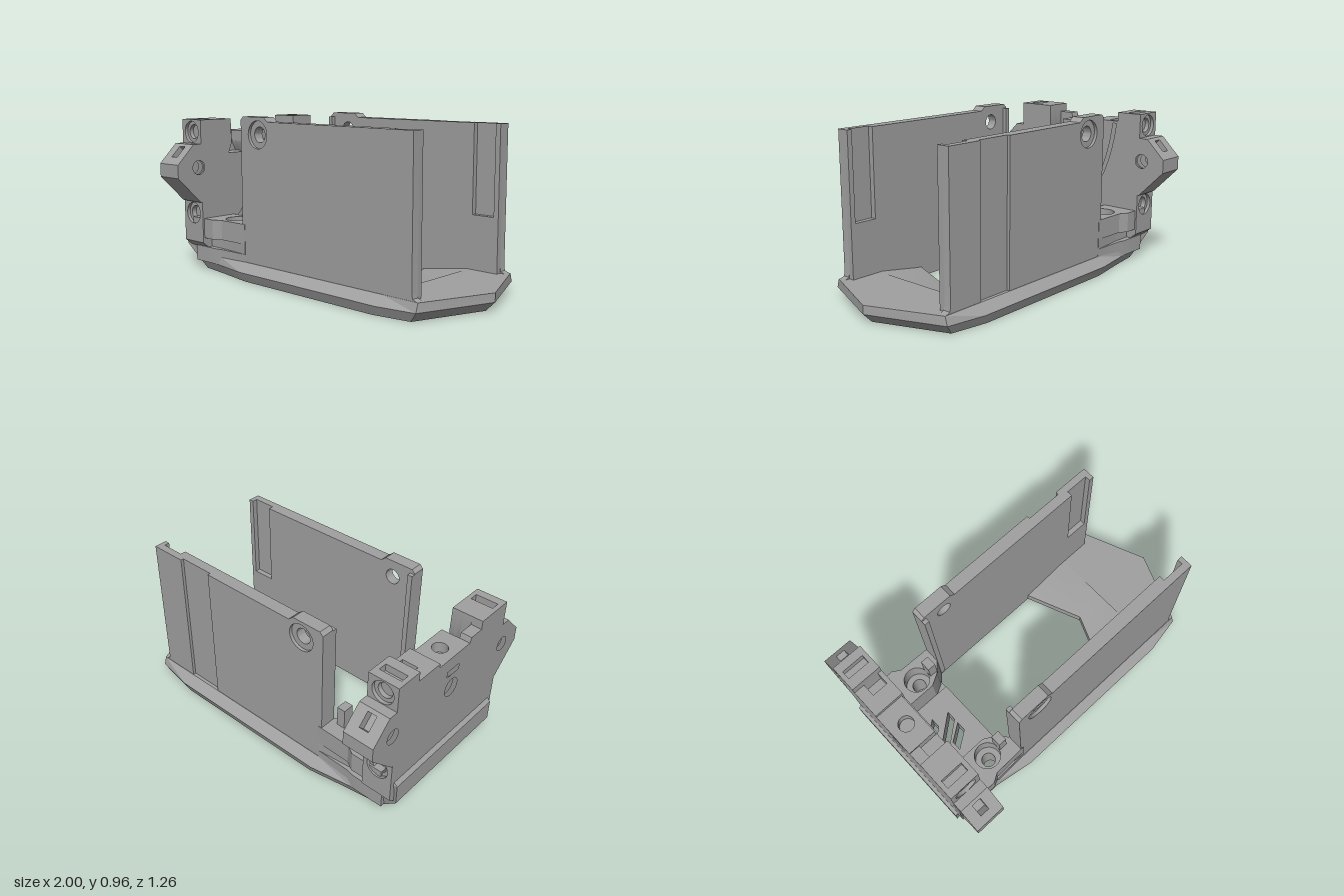
import * as THREE from 'three';
import { toCreasedNormals } from 'three/addons/utils/BufferGeometryUtils.js';

const grey = new THREE.MeshStandardMaterial({ color: 0xa0a0a0 });
grey.name = 'matte grey';

const toShape = (pts, holes = []) => {
  const v = (a) => a.map(([x, y]) => new THREE.Vector2(x, y));
  const s = new THREE.Shape(v(pts));
  holes.forEach((h) => s.holes.push(new THREE.Path(v(h))));
  return s;
};
const circle = (x, y, r, n = 28) => Array.from({ length: n }, (_, i) => {
  const a = (i / n) * Math.PI * 2;
  return [x + r * Math.cos(a), y + r * Math.sin(a)];
});
const rect = (x0, y0, x1, y1) => [[x0, y0], [x1, y0], [x1, y1], [x0, y1]];

// Extrude an outline along an axis between a and b; coordinates are
// (z, y) along x, (x, z) along y and (x, y) along z. move() may edit vertices.
function slab(axis, pts, holes, a, b, move) {
  const flip = (l) => (axis === 'x' ? l.map(([z, y]) => [-z, y]) : l);
  const g = new THREE.ExtrudeGeometry(toShape(flip(pts), holes.map(flip)), { depth: b - a, bevelEnabled: false });
  if (axis === 'x') g.rotateY(Math.PI / 2).translate(a, 0, 0);
  else if (axis === 'y') g.rotateX(Math.PI / 2).translate(0, b, 0);
  else g.translate(0, 0, a);
  if (move) {
    const p = g.attributes.position;
    const v = new THREE.Vector3();
    for (let i = 0; i < p.count; i++) {
      move(v.fromBufferAttribute(p, i));
      p.setXYZ(i, v.x, v.y, v.z);
    }
  }
  return toCreasedNormals(g, 0.5);
}

export function createModel() {
  const model = new THREE.Group();
  model.name = 'cradle';
  const add = (name, geo, parent = model) => {
    const m = new THREE.Mesh(geo, grey);
    m.name = name;
    parent.add(m);
  };
  // z range for a part on the front (s = 1) or the back (s = -1)
  const zr = (s, a, b) => (s > 0 ? [a, b] : [-b, -a]);
  const mz = (s, pts) => pts.map(([x, z]) => [x, s * z]);

  // Boat-shaped base with a large opening, vents and screw holes
  const half = [[0.83, 0.43], [0.6, 0.47], [-0.45, 0.47], [-0.7, 0.43], [-0.918, 0.4]];
  const outline = [[1, 0], ...half, ...mz(-1, half).reverse()];
  const opening = [[-0.52, -0.34], [0.28, -0.34], [0.42, 0], [0.28, 0.34], [-0.52, 0.34]];
  const bar = (x0, z0, x1, z1, w) => [[x0, z0], [x1, z1], [x1, z1 + w], [x0, z0 + w]];
  const vents = [bar(-0.795, -0.06, -0.72, -0.12, 0.06), bar(-0.795, 0.05, -0.62, -0.09, 0.06), bar(-0.72, 0.07, -0.62, 0.0, 0.06)];
  const screws = [1, -1].map((s) => circle(-0.645, s * 0.31, 0.04));
  const onRim = (v) => v.x > 0.78 || v.x < -0.85 || Math.abs(v.z) > 0.38;
  add('baseBottom', slab('y', outline, [opening, ...vents, ...screws], 0, 0.055, (v) => {
    if (v.y < 0.03 && onRim(v)) { v.x *= 0.945; v.z *= 0.955; }
  }));
  add('baseTop', slab('y', outline, [opening, ...vents, ...screws], 0.055, 0.105, (v) => {
    if (v.y < 0.08) return;
    if (onRim(v)) v.z = THREE.MathUtils.clamp(v.z, -0.415, 0.415);
    else if (v.x > 0.2) v.x += 0.3;
  }));
  add('ventFloor', slab('y', rect(-0.9, -0.22, -0.52, 0.22), vents, 0.105, 0.13));

  // Screw blocks with a counterbore and a slit in the outer side
  for (const s of [1, -1]) {
    const plan = (e) => mz(s, [[-0.91, 0.22], [-0.6, 0.22], [-0.53, 0.26], [-0.46, 0.34], [-0.46, 0.415],
      [-0.67, Math.min(e, 0.42)], [-0.72, e], [-0.91, e]]);
    const layers = [[0.055, 0.15, 0.43, 0.04], [0.15, 0.21, 0.395, 0.04], [0.21, 0.33, 0.45, 0.075]];
    const block = new THREE.Group();
    block.name = s > 0 ? 'frontScrewBlock' : 'backScrewBlock';
    model.add(block);
    for (const [y0, y1, e, r] of layers) {
      add('screwBlockLayer', slab('y', plan(e), [circle(-0.645, s * 0.31, r)], y0, y1), block);
    }
    add('peg', slab('z', rect(-0.57, 0.3, -0.52, 0.45), [], ...zr(s, 0.27, 0.335)), block);
  }

  // Side walls: inner layer with an end recess, outer layer with the counterbore
  const left = [[-0.25, 0.935], [-0.28, 0.96], [-0.46, 0.96], [-0.48, 0.94], [-0.48, 0.06]];
  const boltHole = (r) => [circle(-0.335, 0.86, r)];
  for (const s of [1, -1]) {
    const wall = new THREE.Group();
    wall.name = s > 0 ? 'frontWall' : 'backWall';
    model.add(wall);
    const inner = [[0.79, 0.06], [0.79, 0.935], [0.76, 0.935], [0.76, 0.42], [0.62, 0.42], [0.62, 0.935], ...left];
    add('innerWall', slab('z', inner, boltHole(0.045), ...zr(s, 0.338, 0.37)), wall);
    const end = [[0.82, 0.06], [0.82, 0.105], [0.795, 0.115], [0.79, 0.14], [0.79, 0.935]];
    add('middleWall', slab('z', [...end, ...left], boltHole(0.045), ...zr(s, 0.37, 0.395)), wall);
    if (s > 0) add('outerWall', slab('z', [...end, ...left], boltHole(0.08), 0.395, 0.413), wall);
    else {
      add('outerWall', slab('z', [[0.35, 0.06], [0.35, 0.935], ...left], boltHole(0.08), -0.413, -0.395), wall);
      add('outerWallEnd', slab('z', [[0.57, 0.06], ...end, [0.57, 0.935]], [], -0.413, -0.395), wall);
    }
    add('cornerRib', slab('z', rect(-0.48, 0.1, -0.45, 0.935), [], ...zr(s, 0.313, 0.34)), wall);
  }

  // Sloping lower end with clipped corners
  add('lowerEnd', slab('z', [[-1, 0.27], [-1, 0.15], [-0.918, 0.055], [-0.9, 0.055], [-0.9, 0.29], [-0.98, 0.29]],
    [], -0.46, 0.46, (v) => {
      const lim = v.y < 0.1 ? 0.4 : v.x < -0.97 ? 0.43 : 0.46;
      v.z = THREE.MathUtils.clamp(v.z, -lim, lim);
    }));

  // Winged end plate, stacked in layers along x to form its slots and pockets
  const plate = new THREE.Group();
  plate.name = 'endPlate';
  model.add(plate);
  const wing = (slot, notch) => [
    [0.4, 0.13], [0.46, 0.18], [0.46, 0.285], [0.41, 0.285], [0.41, 0.43], [0.47, 0.43], [0.63, 0.59], [0.63, 0.67],
    ...(slot ? [[0.59, 0.71], [0.555, 0.675], [0.495, 0.735], [0.53, 0.77]] : []),
    [0.515, 0.785], [0.415, 0.785], [0.415, 0.93],
    ...(notch ? [[0.41, 0.93], [0.41, 0.89], [0.36, 0.89], [0.36, 0.93]] : []),
  ];
  const arch = [[-0.2, 0.13], [-0.2, 0.24], [-0.12, 0.36], [0.15, 0.36], [0.24, 0.26], [0.24, 0.13]];
  // Curved cable groove on the inner face
  const curve = (d) => new THREE.QuadraticBezierCurve(new THREE.Vector2(-0.29 + d, 0.86),
    new THREE.Vector2(-0.26 + d, 0.6), new THREE.Vector2(-0.14 + d, 0.42)).getPoints(10).map((p) => [p.x, p.y]);
  const groove = [...curve(0), ...curve(0.025).reverse()];
  // [x0, x1, wing slot, top notch, pockets and arch, groove]
  const layers = [
    [-0.98, -0.955, 0, 0, 0, 0], [-0.955, -0.917, 0, 1, 0, 0], [-0.917, -0.863, 1, 1, 1, 0],
    [-0.863, -0.825, 0, 1, 1, 0], [-0.825, -0.812, 0, 0, 1, 0], [-0.812, -0.8, 0, 0, 1, 1],
  ];
  for (const [x0, x1, slot, notch, open, cut] of layers) {
    const w = wing(slot, notch);
    const top = [
      ...(open ? [[0.23, 0.93], [0.225, 0.78], [0.25, 0.72], [0.1, 0.72], [0.13, 0.78]] : [[0.23, 0.93], [0.23, 0.88], [0.14, 0.88], [0.13, 0.85]]),
      [0.13, 0.79], [-0.13, 0.79], [-0.13, 0.875],
      ...(open && !cut && x1 < -0.82 ? [[-0.225, 0.875], [-0.225, 0.8], [-0.295, 0.8]] : []),
      [-0.3, 0.875], [-0.3, 0.93],
    ];
    const pts = [...w, ...top, ...w.map(([z, y]) => [-z, y]).reverse(), ...(open ? arch : [])];
    const holes = [circle(0, 0.645, 0.055, 12), circle(0.48, 0.645, 0.043), circle(-0.48, 0.645, 0.043)];
    if (!open) holes.push(rect(-0.05, 0.735, 0.05, 0.77));
    if (cut) holes.push(groove);
    add('plateLayer', slab('x', pts, holes, x0, x1), plate);
  }
  add('topBridge', slab('y', rect(-0.98, -0.13, -0.81, 0.13), [circle(-0.89, 0, 0.043)], 0.79, 0.85), plate);

  // Bored screw seats above and below each wing
  for (const s of [1, -1]) {
    for (const [y0, y1, yc] of [[0.785, 0.93, 0.855], [0.285, 0.43, 0.358]]) {
      const box = rect(-0.98, y0, -0.8, y1);
      add('seatRim', slab('z', box, [circle(-0.89, yc, 0.065)], ...zr(s, 0.44, 0.46)), plate);
      add('seatBore', slab('z', box, [circle(-0.89, yc, 0.043)], ...zr(s, 0.41, 0.44)), plate);
    }
  }
  return model;
}
